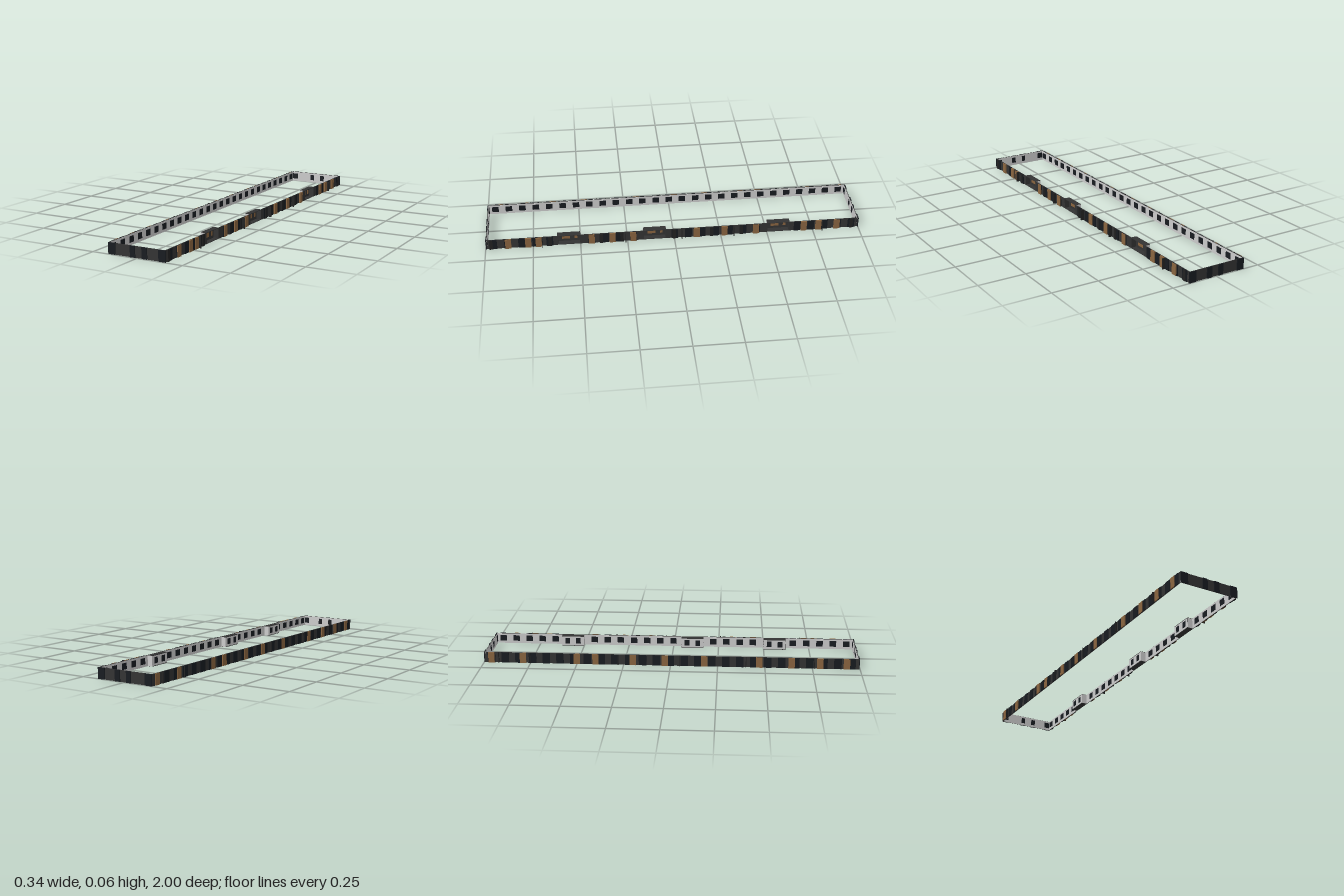
import * as THREE from 'three';

const H = 0.057;            // wall height
const XL = -0.163, XR = 0.154, ZB = -0.996, ZF = 0.993;

const paint = (color) => new THREE.MeshStandardMaterial({ color, flatShading: true });
const WALL = paint(0x333333), PANE = paint(0x171b20), WOOD = paint(0x8a6540);
const TRIM = paint(0x222222), LINER = paint(0xcccccc);

// box given by its minimum and maximum corners
function box(parent, name, mat, x0, x1, y0, y1, z0, z1) {
  const mesh = new THREE.Mesh(new THREE.BoxGeometry(x1 - x0, y1 - y0, z1 - z0), mat);
  mesh.position.set((x0 + x1) / 2, (y0 + y1) / 2, (z0 + z1) / 2);
  mesh.name = name;
  parent.add(mesh);
}

function group(parent, name) {
  const g = new THREE.Group();
  g.name = name;
  parent.add(g);
  return g;
}

// wall along z; side is the sign of the outward x direction
function longWall(parent, name, side, z0, z1) {
  const x = side > 0 ? XR : XL;
  const mid = x - side * 0.003, inner = x - side * 0.004;
  box(parent, name, WALL, Math.min(x, mid), Math.max(x, mid), 0, H, z0, z1);
  box(parent, name + 'Liner', LINER, Math.min(mid, inner), Math.max(mid, inner), 0, H - 0.001, z0, z1);
}

// full-height panel on the outside of a long wall
function sidePanel(parent, name, mat, side, z, width, depth) {
  const x = side > 0 ? XR : XL;
  const out = x + side * depth;
  box(parent, name, mat, Math.min(x, out), Math.max(x, out), 0, H, z - width / 2, z + width / 2);
}

// window seen on the inside of a long wall
function innerWindow(parent, side, z) {
  const x = (side > 0 ? XR : XL) - side * 0.0045;
  box(parent, 'innerWindow', PANE, x - 0.001, x + 0.001, 0.014, 0.046, z - 0.018, z + 0.018);
}

// recessed entrance open to +x
function alcove(parent, zc) {
  const g = group(parent, 'entranceAlcove');
  const z0 = zc - 0.061, z1 = zc + 0.061, xb = 0.122;
  box(g, 'alcoveRoof', WALL, xb, XR, H - 0.003, H, z0, z1);
  box(g, 'alcoveFloor', WALL, xb, XR, 0, 0.003, z0, z1);
  box(g, 'alcoveBack', WALL, xb + 0.002, xb + 0.004, 0.003, H - 0.003, z0, z1);
  box(g, 'alcoveBackLiner', LINER, xb, xb + 0.002, 0.003, H - 0.003, z0, z1);
  for (const s of [-1, 1]) {
    const ze = zc + s * 0.061, zi = ze - s * 0.003, zo = ze + s * 0.001;
    box(g, 'alcoveSide', WALL, xb, XR, 0.003, H - 0.003, Math.min(ze, zi), Math.max(ze, zi));
    box(g, 'alcoveSideLiner', LINER, xb, XR - 0.003, 0.001, H - 0.002, Math.min(ze, zo), Math.max(ze, zo));
  }
  // wooden door and side window, with dark glass seen from behind
  box(g, 'woodenDoor', WOOD, xb + 0.004, xb + 0.006, 0.018, 0.047, zc - 0.006, zc + 0.037);
  box(g, 'woodenSideWindow', WOOD, xb + 0.004, xb + 0.006, 0.018, 0.047, zc - 0.044, zc - 0.03);
  for (const dz of [-0.03, 0.03])
    box(g, 'backWindow', PANE, xb - 0.001, xb, 0.014, 0.046, zc + dz - 0.013, zc + dz + 0.013);
}

export function createModel() {
  const model = new THREE.Group();
  model.name = 'facadeRing';
  const alcoves = [-0.562, 0.105, 0.56];

  // right-hand +x wall, split around the alcoves
  const plusX = group(model, 'leftFacade');
  let start = ZB;
  for (const z of alcoves) {
    longWall(plusX, 'wall', 1, start, z - 0.061);
    alcove(plusX, z);
    start = z + 0.061;
  }
  longWall(plusX, 'wall', 1, start, ZF);
  longWall(group(model, 'rightFacade'), 'wall', -1, ZB, ZF);
  const minusX = model.getObjectByName('rightFacade');

  // glazed bays and inner windows at a regular pitch
  const count = 27, pitch = (ZF - ZB) / count;
  for (let i = 0; i < count; i++) {
    const z = ZB + (i + 0.5) * pitch;
    sidePanel(minusX, 'glazedBay', PANE, -1, z, 0.04, 0.003);
    innerWindow(minusX, -1, z);
    if (alcoves.every((a) => Math.abs(a - z) > 0.082)) {
      sidePanel(plusX, 'glazedBay', PANE, 1, z, 0.036, 0.004);
      innerWindow(plusX, 1, z);
    }
  }

  // wooden cladding panels
  for (const z of [0.88, 0.775, 0.72, 0.44, 0.33, 0.22, -0.12, -0.27, -0.44, -0.7, -0.78, -0.88])
    sidePanel(plusX, 'woodenPanel', WOOD, 1, z, 0.032, 0.008);
  for (const z of [-0.96, -0.79, -0.5, -0.4, -0.2, -0.03, 0.18, 0.47, 0.64, 0.79, 0.93])
    sidePanel(minusX, 'woodenPanel', WOOD, -1, z, 0.034, 0.005);
  // dark pilasters between the bays
  for (const z of [0.97, 0.66, 0.39, 0.28, 0, -0.2, -0.36, -0.96])
    sidePanel(plusX, 'pilaster', TRIM, 1, z, 0.018, 0.007);

  // thin projecting fins
  for (const z of [-0.92, -0.75, -0.28, 0.05, 0.4, 0.76]) sidePanel(minusX, 'fin', TRIM, -1, z, 0.003, 0.009);
  for (const z of [-0.8, -0.32, -0.04, 0.26, 0.7]) sidePanel(plusX, 'fin', TRIM, 1, z, 0.003, 0.018);

  // end walls with grey lining, full-height glazing outside and windows inside
  for (const s of [-1, 1]) {
    const g = group(model, s > 0 ? 'frontFacade' : 'backFacade');
    const z = s > 0 ? ZF : ZB;
    const slab = (name, mat, x0, x1, y0, y1, a, b) =>
      box(g, name, mat, x0, x1, y0, y1, Math.min(z + s * a, z + s * b), Math.max(z + s * a, z + s * b));
    slab('wall', WALL, XL, XR, 0, H, -0.003, 0);
    slab('wallLiner', LINER, XL, XR, 0, H - 0.001, -0.004, -0.003);
    for (const [x0, x1] of [[-0.163, -0.123], [-0.04, -0.012], [0.025, 0.055], [0.118, 0.158]]) {
      slab('glazedBay', PANE, x0, x1, 0, H, 0, 0.004);
      slab('innerWindow', PANE, x0 + 0.003, x1 - 0.003, 0.014, 0.046, -0.005, -0.004);
    }
  }
  return model;
}
